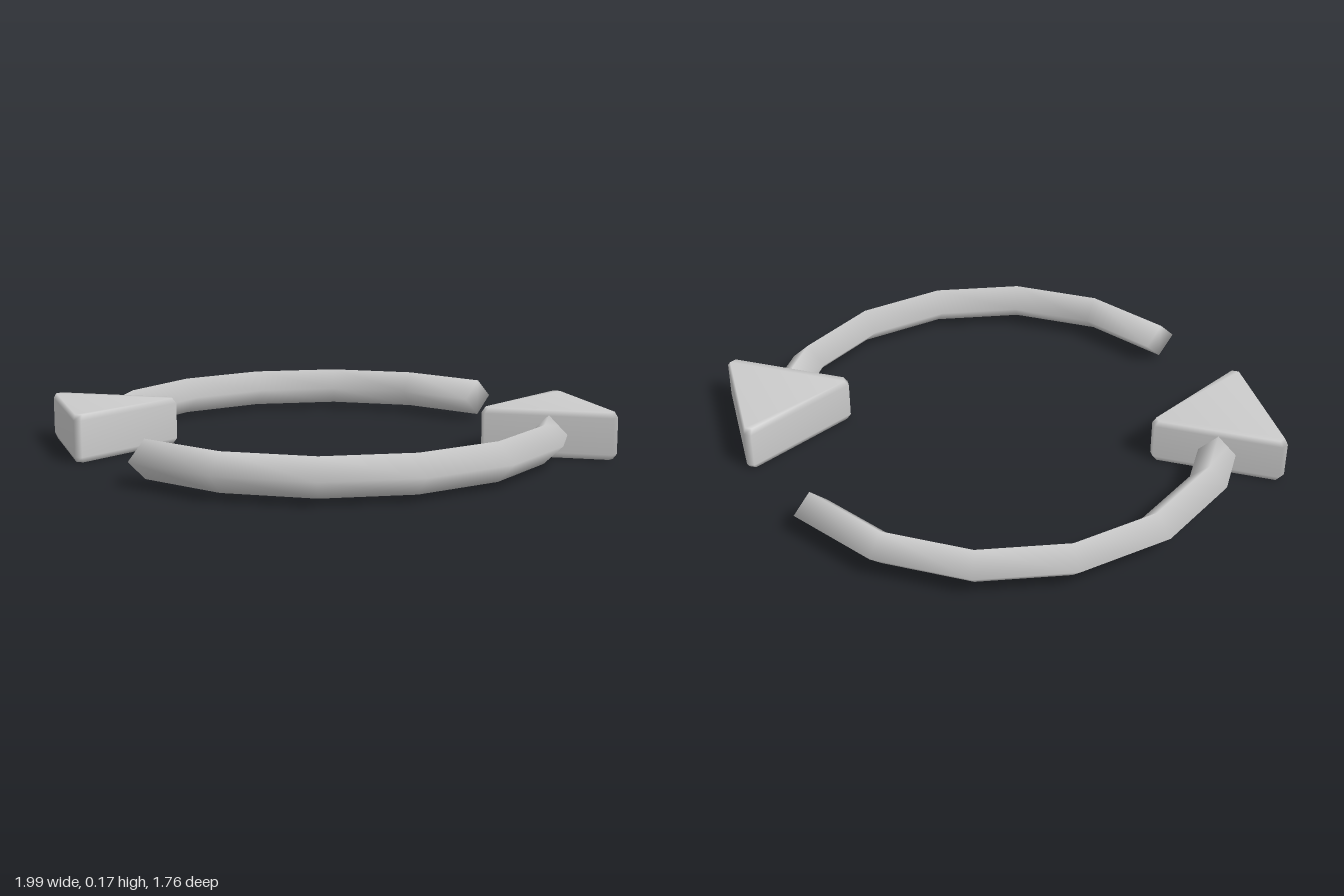
import * as THREE from 'three';

const material = new THREE.MeshStandardMaterial({ color: 0xcccccc });
const MID = 0.086; // height of the centre plane

// Closed, smooth-shaded loft through rings that turn right-handed about the direction of travel
function loft(rings) {
  const n = rings[0].length;
  const last = (rings.length - 1) * n;
  const index = [];
  for (let k = 0; k < rings.length - 1; k++) {
    for (let i = 0; i < n; i++) {
      const a = k * n + i, b = k * n + (i + 1) % n;
      index.push(a, b, b + n, a, b + n, a + n);
    }
  }
  for (let i = 1; i < n - 1; i++) {
    index.push(0, i + 1, i, last, last + i, last + i + 1);
  }
  const geometry = new THREE.BufferGeometry().setFromPoints(rings.flat());
  geometry.setIndex(index);
  geometry.computeVertexNormals();
  return geometry;
}

// Four-sided bar bent along an arc, ending inside the arrowhead
function shaftGeometry() {
  const R = 0.825, r = 0.069, segments = 6;
  const start = -56, step = 22.7;
  const rings = [];
  for (let k = 0; k <= segments; k++) {
    const t = THREE.MathUtils.degToRad(start + k * step);
    const at = (radius, y) => new THREE.Vector3(radius * Math.sin(t), y, radius * Math.cos(t));
    rings.push([at(R, MID + r), at(R + r, MID), at(R, MID - r), at(R - r, MID)]);
  }
  return loft(rings);
}

// Triangular slab with blunted corners and chamfered rims
function headGeometry() {
  const corners = [[0.52, 0.184], [1.0, 0.37], [0.914, -0.137]]
    .map(([x, z]) => new THREE.Vector2(x, z));
  const centre = corners.reduce((s, c) => s.add(c), new THREE.Vector2()).divideScalar(3);
  const toward = (a, b) => a.clone().add(b.clone().sub(a).setLength(0.028));
  const outline = corners.flatMap((c, i) => [
    toward(c, corners[(i + 2) % 3]),
    toward(c, corners[(i + 1) % 3]),
  ]);
  const levels = [[0, 0.945], [0.02, 1], [2 * MID - 0.02, 1], [2 * MID, 0.945]];
  return loft(levels.map(([y, s]) => outline.map((p) => {
    const q = centre.clone().lerp(p, s);
    return new THREE.Vector3(q.x, y, q.y);
  })));
}

export function createModel() {
  const model = new THREE.Group();
  model.name = 'circularArrows';
  const shaft = shaftGeometry();
  const head = headGeometry();

  // Two identical arrows, half a turn apart
  ['frontArrow', 'backArrow'].forEach((name, i) => {
    const arrow = new THREE.Group();
    arrow.name = name;
    const shaftMesh = new THREE.Mesh(shaft, material);
    shaftMesh.name = 'curvedShaft';
    const headMesh = new THREE.Mesh(head, material);
    headMesh.name = 'arrowhead';
    arrow.add(shaftMesh, headMesh);
    arrow.rotation.y = i * Math.PI;
    model.add(arrow);
  });
  return model;
}
